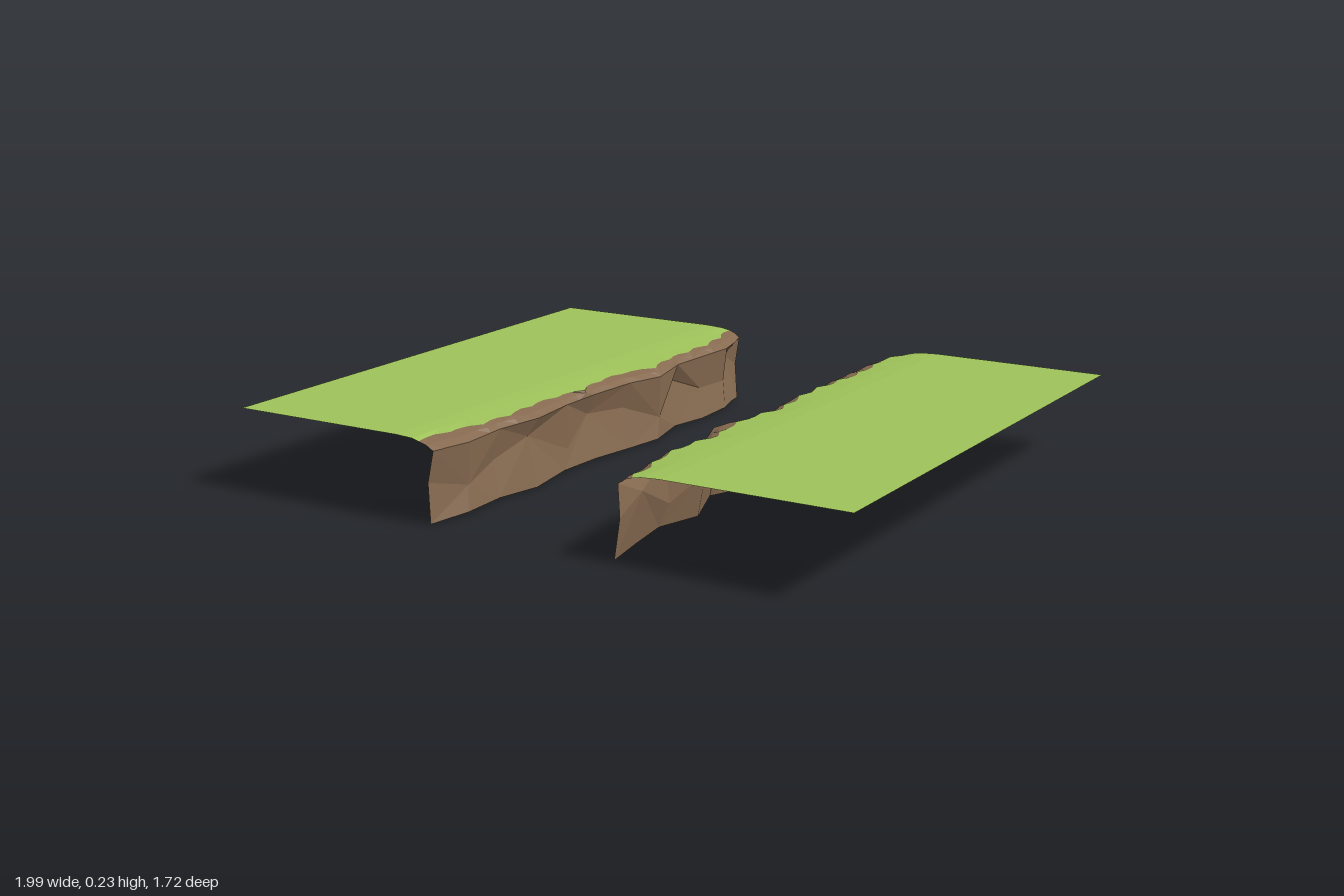
import * as THREE from 'three';

const grassMat = new THREE.MeshStandardMaterial({ name: 'grass green', color: 0x9fc35a, side: THREE.DoubleSide, flatShading: true });
const earthMat = new THREE.MeshStandardMaterial({ name: 'earth brown', color: 0x866a50, side: THREE.DoubleSide, flatShading: true });

const TOP = 0.235, BACK = -0.855, FRONT = 0.84;
const STEPS = 42; // scallops along the turf edge

// Stations along the cliff rim, back to front
const rimZ = [BACK, -0.78, -0.69, -0.55, -0.4, -0.23, -0.11, 0.06, 0.22, 0.39, 0.55, 0.71, FRONT];

// Distances from the channel's centre line: rim at rimZ, turf edge at even spacing
const rightRim = [0.305, 0.28, 0.258, 0.265, 0.272, 0.232, 0.268, 0.28, 0.28, 0.262, 0.285, 0.275, 0.302];
const rightTurf = [0.35, 0.315, 0.295, 0.297, 0.295, 0.27, 0.315, 0.318, 0.297, 0.32, 0.32, 0.31, 0.318, 0.35, 0.36];
const leftRim = [0.305, 0.285, 0.262, 0.258, 0.264, 0.282, 0.268, 0.3, 0.228, 0.292, 0.268, 0.29, 0.303];
const leftTurf = [0.335, 0.3, 0.315, 0.32, 0.308, 0.297, 0.308, 0.325, 0.3, 0.3, 0.318, 0.298, 0.3, 0.325, 0.34];

const evenZ = count => Array.from({ length: count }, (_, i) => BACK + (FRONT - BACK) * i / (count - 1));

// Straight-line interpolation of values given at stations
function at(stations, values, z) {
  const found = stations.findIndex(s => s >= z - 1e-9);
  const i = Math.max(1, found);
  const t = (z - stations[i - 1]) / (stations[i] - stations[i - 1]);
  return values[i - 1] + (values[i] - values[i - 1]) * t;
}

// Skin a list of rows of [x, y, z] points; side mirrors the sheet in x
function sheet(name, rows, side, material) {
  const n = rows[0].length, index = [];
  const add = (a, b, c) => (side < 0 ? index.push(a, b, c) : index.push(a, c, b));
  for (let r = 0; r < rows.length - 1; r++) {
    for (let i = 0; i < n - 1; i++) {
      const a = r * n + i, b = a + 1, c = a + n, d = c + 1;
      if ((i + r) % 2) { add(a, b, c); add(b, d, c); }
      else { add(a, b, d); add(a, d, c); }
    }
  }
  const points = rows.flat().map(([x, y, z]) => new THREE.Vector3(x * side, y, z));
  const indexed = new THREE.BufferGeometry().setFromPoints(points);
  indexed.setIndex(index);
  const geometry = indexed.toNonIndexed();
  geometry.computeVertexNormals();
  const mesh = new THREE.Mesh(geometry, material);
  mesh.name = name;
  return mesh;
}

function makeBank(name, side, outer, rim, turf) {
  const bank = new THREE.Group();
  bank.name = name;
  const turfZ = evenZ(turf.length);
  const inner = rimZ.slice(1, -1);
  const zs = [...evenZ(STEPS + 1), ...inner].sort((a, b) => a - b);
  const lip = zs.map(z => [at(rimZ, rim, z), 0.205, z]);

  // Ragged turf edge, always set back from the rim
  const edge = zs.map((z, i) => {
    const scallop = 0.009 * Math.sin(z * 52 + side);
    return [Math.max(at(turfZ, turf, z) + scallop, lip[i][0] + 0.006), 0.226, z];
  });

  // Flat turf that dips slightly to its edge
  const flat = (x, y) => zs.map(z => [x, y, z]);
  bank.add(sheet('grass', [flat(outer, TOP), flat(0.43, TOP), flat(0.375, 0.232), edge], side, grassMat));

  // Bare earth rolling over the rim
  const roll = edge.map((p, i) => [p[0] * 0.45 + lip[i][0] * 0.55, 0.218, p[2]]);
  bank.add(sheet('earthLip', [edge, roll, lip], side, earthMat));

  // Faceted cliff, hollowed at mid height
  const top = rimZ.map((z, i) => [rim[i], 0.205, z]);
  const middle = rimZ.map((z, i) => {
    const wave = i === 0 || i === rimZ.length - 1 ? 0 : Math.sin(i * 2.3 + side);
    return [Math.min(0.315, rim[i] + 0.018 + 0.01 * wave), 0.115 + 0.05 * wave, z + 0.01 + 0.02 * wave];
  });
  const foot = rimZ.map((z, i) => [rim[i] - 0.004 + 0.004 * Math.sin(i * 1.7), i % 3 ? 0.006 : 0, z + 0.02]);
  bank.add(sheet('cliff', [top, middle, foot], side, earthMat));
  return bank;
}

export function createModel() {
  const model = new THREE.Group();
  model.name = 'riverBanks';
  model.add(makeBank('rightBank', -1, 1, rightRim, rightTurf));
  model.add(makeBank('leftBank', 1, 0.99, leftRim, leftTurf));
  return model;
}
